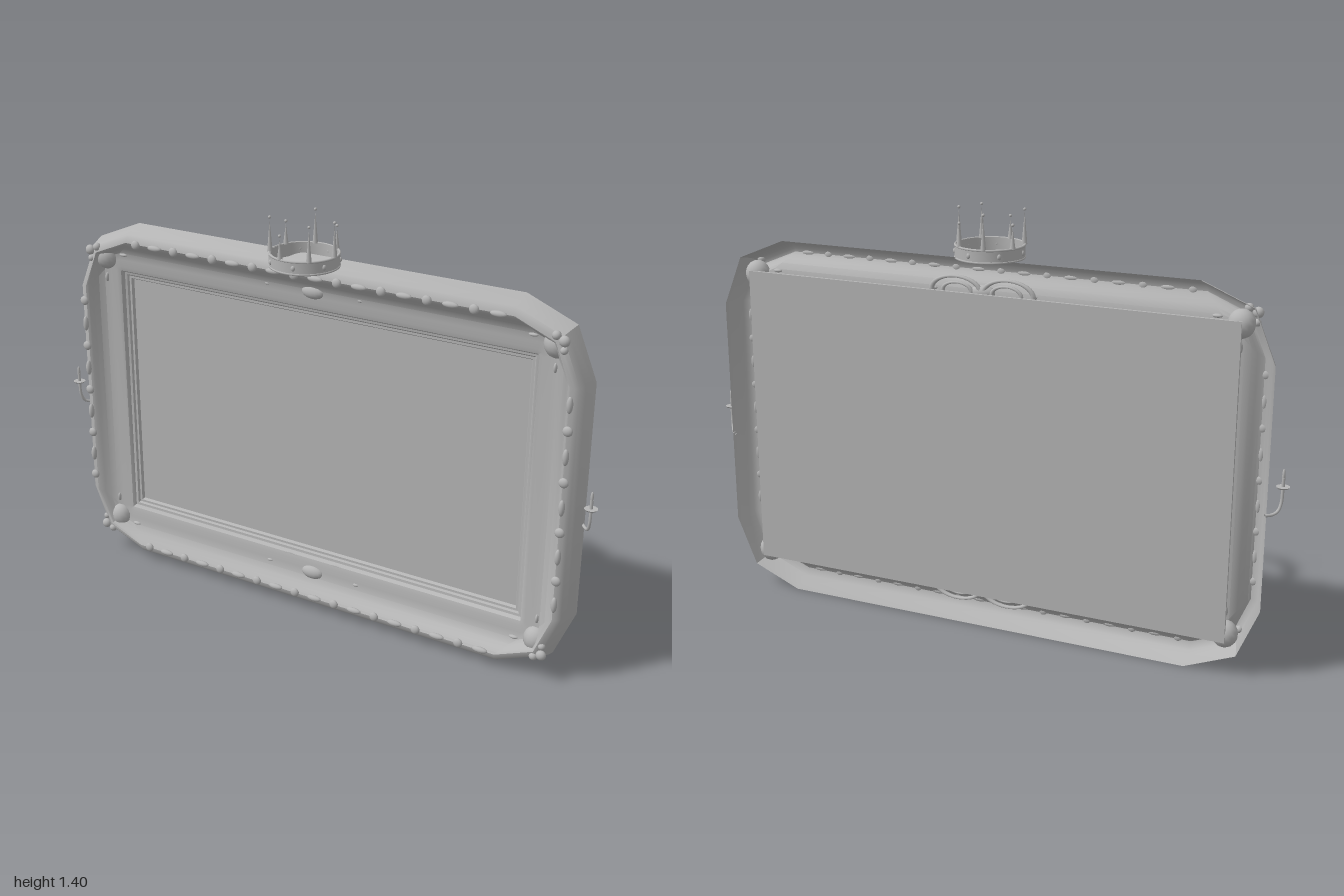
import * as THREE from 'three';
import { toCreasedNormals } from 'three/addons/utils/BufferGeometryUtils.js';

const MID_Y = 0.625;

export function createModel() {
  const model = new THREE.Group();
  model.name = 'ornateFrame';
  const grey = new THREE.MeshStandardMaterial({ color: 0xb4b4b4, side: THREE.DoubleSide });
  grey.name = 'plain grey';

  const add = (name, geometry, x = 0, y = 0, z = 0, parent = model) => {
    const mesh = new THREE.Mesh(geometry, grey);
    mesh.name = name;
    mesh.position.set(x, y, z);
    parent.add(mesh);
    return mesh;
  };
  const ball = new THREE.SphereGeometry(1, 16, 10);
  const egg = (name, x, y, z, rx, ry, rz, parent) => {
    const mesh = add(name, ball, x, y, z, parent);
    mesh.scale.set(rx, ry, rz);
    return mesh;
  };

  // Moulded frame: [inset, z, corner radius] rings from the outer edge to the opening
  const profile = [
    [0, -0.088, 0.235], [0.004, -0.072, 0.231], [0.014, -0.04, 0.222], [0.025, -0.02, 0.212],
    [0.037, -0.01, 0.2], [0.05, -0.007, 0.185], [0.058, -0.011, 0.17], [0.07, -0.024, 0.15],
    [0.085, -0.038, 0.115], [0.105, -0.048, 0.07], [0.13, -0.052, 0.04], [0.155, -0.052, 0.02],
    [0.17, -0.056, 0.005], [0.177, -0.068, 0], [0.185, -0.07, 0], [0.19, -0.076, 0],
    [0.198, -0.076, 0], [0.205, -0.088, 0],
  ];
  const steps = 2, count = 4 * (steps + 1);
  const positions = [], indices = [];
  profile.forEach(([inset, z, r], ring) => {
    const w = 0.945 - inset, h = 0.625 - inset;
    for (let c = 0; c < 4; c++) {
      const sx = c === 0 || c === 3 ? 1 : -1, sy = c < 2 ? 1 : -1;
      for (let s = 0; s <= steps; s++) {
        const a = (c + s / steps) * Math.PI / 2;
        positions.push(sx * (w - r) + r * Math.cos(a), MID_Y + sy * (h - r) + r * Math.sin(a), z);
      }
    }
    if (ring === profile.length - 1) return;
    for (let i = 0; i < count; i++) {
      const a = ring * count + i, b = ring * count + (i + 1) % count;
      indices.push(a, b, b + count, a, b + count, a + count);
    }
  });
  const moulding = new THREE.BufferGeometry();
  moulding.setAttribute('position', new THREE.Float32BufferAttribute(positions, 3));
  moulding.setIndex(indices);
  add('frameMoulding', toCreasedNormals(moulding, 0.6));

  // Panel behind the opening
  add('backPanel', new THREE.BoxGeometry(1.68, 1.03, 0.01), 0, MID_Y, -0.09);

  // Bead and reel trim around the crest of the frame
  const bead = (x, y, round, upright) => {
    const [a, b] = round ? [0.016, 0.016] : [0.027, 0.01];
    egg(round ? 'roundBead' : 'longBead', x, y, -0.002, upright ? b : a, upright ? a : b, 0.01);
  };
  for (let i = 0; i < 18; i++) {
    const x = -0.665 + i * 0.078;
    bead(x, 1.2, i % 2 === 0, false);
    bead(x, 0.055, i % 2 === 0, false);
  }
  for (let i = 0; i < 9; i++) {
    const y = 0.295 + i * 0.0836;
    bead(-0.9, y, i % 2 === 0, true);
    bead(0.9, y, i % 2 === 1, true);
  }

  // Corner clusters: egg, berries and two small leaves
  for (const sx of [-1, 1]) for (const sy of [-1, 1]) {
    const at = (name, x, y, z, rx, ry, rz) =>
      egg(name, sx * x, MID_Y + sy * (y - MID_Y), z, rx, ry, rz);
    at('cornerEgg', 0.83, 1.125, -0.055, 0.042, 0.045, 0.04);
    at('cornerBerry', 0.867, 1.152, -0.01, 0.017, 0.017, 0.014);
    at('cornerBerry', 0.84, 1.165, -0.014, 0.014, 0.014, 0.014);
    at('cornerBerry', 0.866, 1.122, -0.014, 0.012, 0.012, 0.012);
    at('cornerLeaf', 0.83, 1.05, -0.05, 0.006, 0.016, 0.009);
    at('cornerLeaf', 0.755, 1.14, -0.05, 0.016, 0.006, 0.009);
  }

  // Scroll rings with a centre boss, mostly sunk into the top and bottom rails
  for (const y of [1.138, 0.122]) {
    egg('scrollBoss', 0, y, -0.055, 0.042, 0.024, 0.02);
    for (const sx of [-1, 1]) {
      const outer = add('scrollRing', new THREE.TorusGeometry(0.085, 0.009, 8, 32), sx * 0.09, y, -0.064);
      outer.scale.y = 0.55;
      const inner = add('scrollCurl', new THREE.TorusGeometry(0.05, 0.007, 8, 28), sx * 0.085, y, -0.066);
      inner.scale.y = 0.55;
      egg('scrollTip', sx * 0.172, y, -0.054, 0.012, 0.006, 0.007);
    }
  }

  // Candle arms on both sides
  for (const sx of [-1, 1]) {
    const sconce = new THREE.Group();
    sconce.name = sx > 0 ? 'leftSconce' : 'rightSconce';
    model.add(sconce);
    const path = new THREE.CatmullRomCurve3([
      [0.94, 0.55, -0.085], [0.957, 0.549, -0.066], [0.97, 0.557, -0.05], [0.977, 0.58, -0.041], [0.979, 0.63, -0.038],
    ].map(([x, y, z]) => new THREE.Vector3(sx * x, y, z)));
    add('sconceArm', new THREE.TubeGeometry(path, 20, 0.005, 8), 0, 0, 0, sconce);
    add('dripPan', new THREE.CylinderGeometry(0.021, 0.017, 0.005, 20), sx * 0.979, 0.631, -0.038, sconce);
    add('candle', new THREE.CylinderGeometry(0.005, 0.005, 0.03, 10), sx * 0.979, 0.647, -0.038, sconce);
    egg('flame', sx * 0.979, 0.67, -0.038, 0.005, 0.02, 0.005, sconce);
  }

  // Crown standing on the top rail
  const crown = new THREE.Group();
  crown.name = 'crown';
  model.add(crown);
  const band = [[0.106, 1.241], [0.112, 1.241], [0.112, 1.284], [0.106, 1.284], [0.106, 1.241]]
    .map(([x, y]) => new THREE.Vector2(x, y));
  add('crownBand', toCreasedNormals(new THREE.LatheGeometry(band, 40), 0.6), 0, 0, 0, crown);
  for (const y of [1.243, 1.282]) {
    add('crownRim', new THREE.TorusGeometry(0.11, 0.004, 8, 40), 0, y, 0, crown).rotation.x = Math.PI / 2;
  }
  for (let i = 0; i < 7; i++) {
    const a = i / 7 * Math.PI * 2, height = i % 2 ? 0.065 : 0.1;
    const x = 0.108 * Math.cos(a), z = -0.108 * Math.sin(a);
    add('crownSpike', new THREE.ConeGeometry(0.009, height, 10), x, 1.282 + height / 2, z, crown);
    egg('spikePearl', x, 1.292 + height, z, 0.005, 0.005, 0.005, crown);
    const g = a + Math.PI / 7;
    const gem = egg('crownGem', 0.111 * Math.cos(g), 1.262, -0.111 * Math.sin(g), 0.006, 0.009, 0.007, crown);
    gem.rotation.y = g;
  }
  return model;
}
